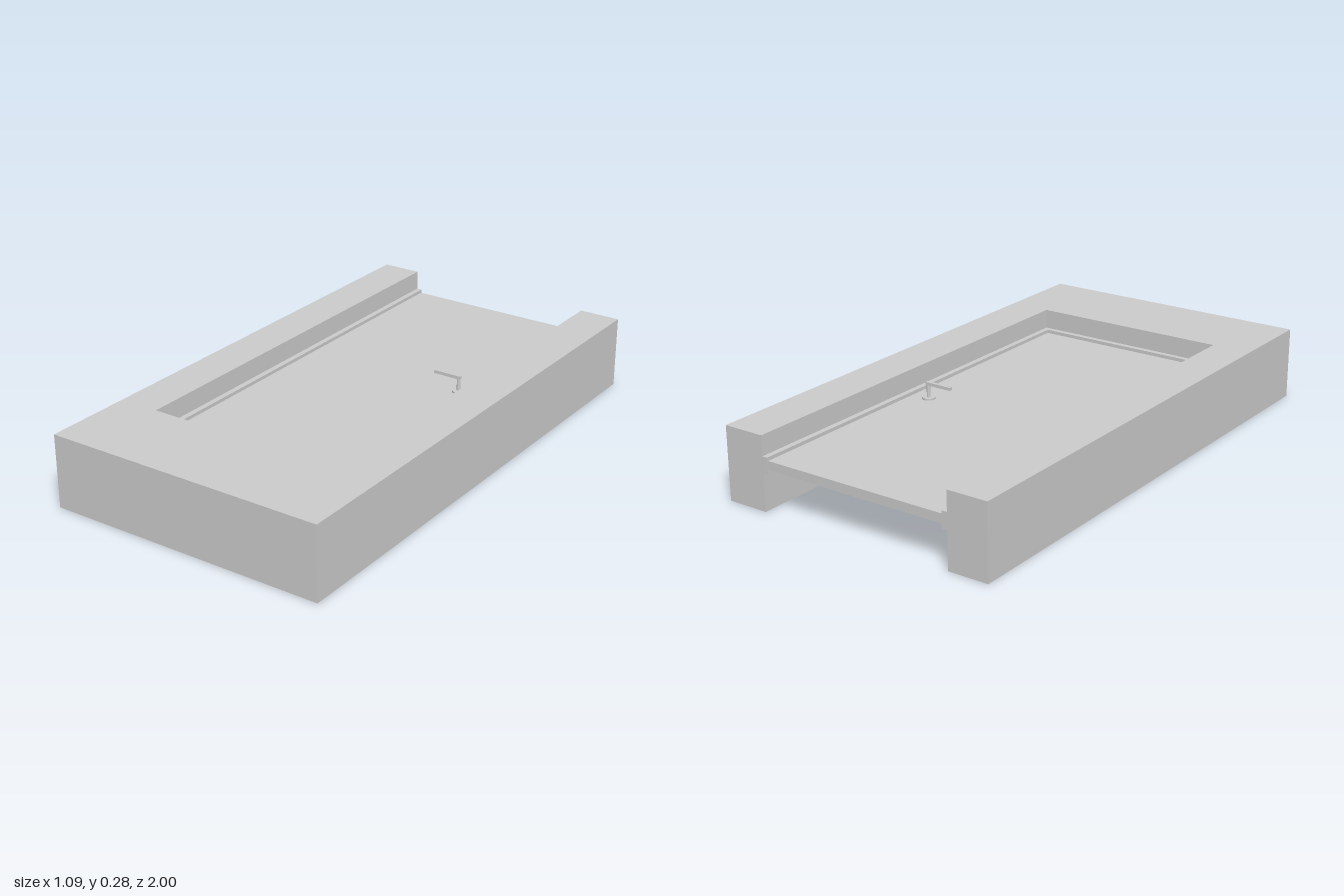
import * as THREE from 'three';

const material = new THREE.MeshStandardMaterial({ color: 0xcccccc });

function part(name, geometry, x = 0, y = 0, z = 0) {
  const mesh = new THREE.Mesh(geometry, material);
  mesh.name = name;
  mesh.position.set(x, y, z);
  return mesh;
}

// U-shaped slab lying flat, open towards -z, from height y0 to y1
function uSlab(name, outer, inner, y0, y1) {
  const points = [
    [outer.x0, -1], [outer.x0, outer.z], [outer.x1, outer.z], [outer.x1, -1],
    [inner.x1, -1], [inner.x1, inner.z], [inner.x0, inner.z], [inner.x0, -1],
  ].map(([x, z]) => new THREE.Vector2(x, -z));
  const geometry = new THREE.ExtrudeGeometry(new THREE.Shape(points), { depth: y1 - y0, bevelEnabled: false });
  geometry.rotateX(-Math.PI / 2);
  return part(name, geometry, 0, y0, 0);
}

export function createModel() {
  const model = new THREE.Group();
  model.name = 'doorInWall';

  const wall = { x0: -0.543, x1: 0.543, z: 1 };
  const opening = { x0: -0.388, x1: 0.382, z: 0.662 };
  const inset = (d) => ({ x0: opening.x0 + d, x1: opening.x1 - d, z: opening.z - d });

  // Wall with doorway, and the frame lining it
  model.add(uSlab('wall', wall, opening, 0, 0.277));
  model.add(uSlab('frame', opening, inset(0.021), 0.14, 0.202));

  // Door leaf
  const leaf = inset(0.021);
  const doorY = 0.172, doorT = 0.034, back = -0.996;
  model.add(part('doorLeaf',
    new THREE.BoxGeometry(leaf.x1 - leaf.x0, doorT, leaf.z - back),
    (leaf.x0 + leaf.x1) / 2, doorY, (leaf.z + back) / 2));

  // Lever handle on each face of the door
  for (const side of [1, -1]) {
    const handle = new THREE.Group();
    handle.name = side > 0 ? 'outerHandle' : 'innerHandle';
    const at = (h) => side * (doorT / 2 + h);
    handle.add(part('rosette', new THREE.CylinderGeometry(0.024, 0.024, 0.007, 24), 0, at(0.0035), 0));
    handle.add(part('stem', new THREE.CylinderGeometry(0.007, 0.007, 0.056, 16), 0, at(0.028), 0));
    handle.add(part('lever', new THREE.BoxGeometry(0.11, 0.012, 0.013), -0.047, at(0.058), 0));
    handle.position.set(0.289, doorY, -0.23);
    model.add(handle);
  }
  return model;
}
